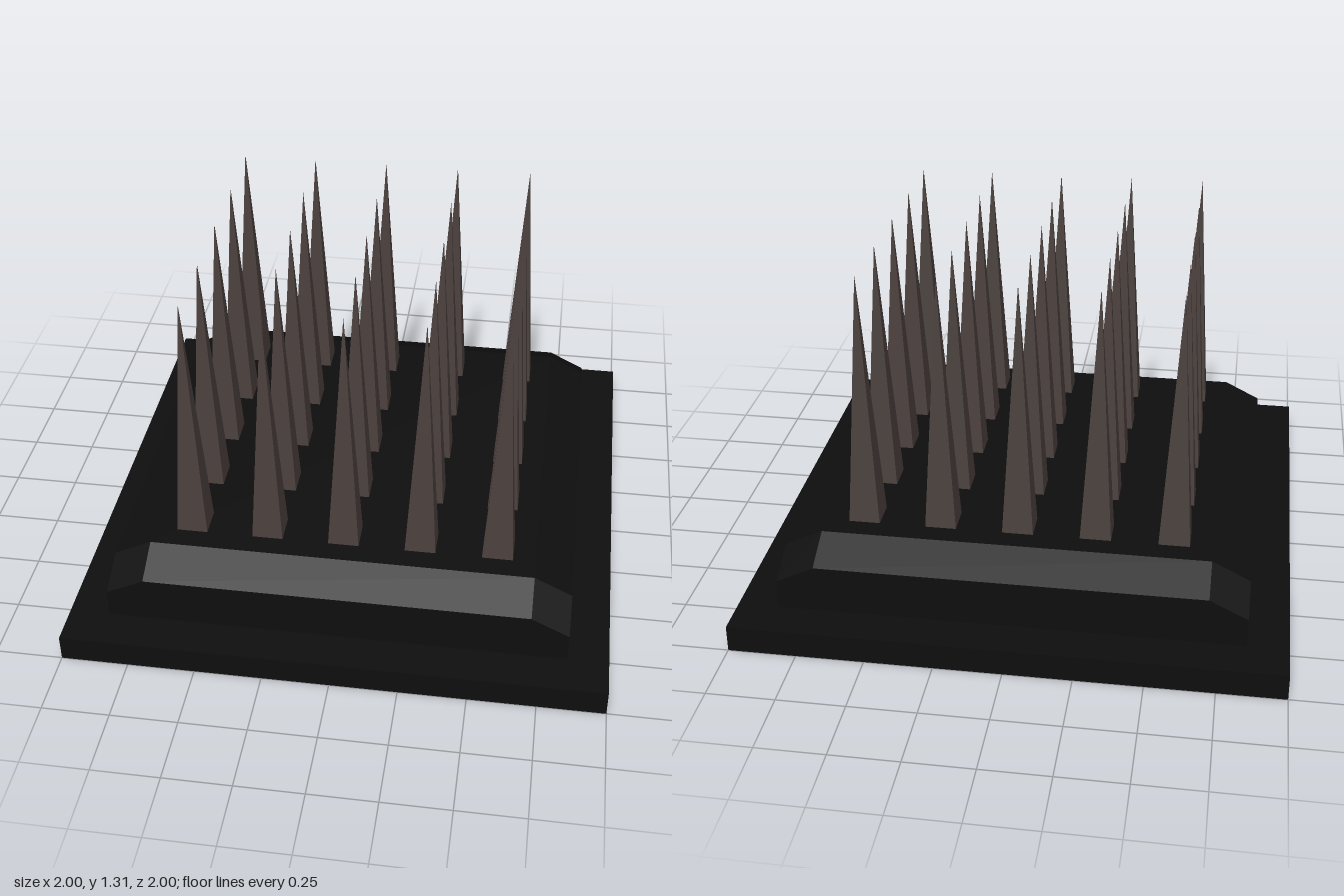
import * as THREE from 'three';

const stone = new THREE.MeshStandardMaterial({ color: 0x0e0e0e, flatShading: true });
const iron = new THREE.MeshStandardMaterial({ color: 0x4a403d, flatShading: true });

// Block whose top drops by one step at each rim and by two at the corners
function bevelledBlock(half, inner, bottom, top, drop) {
  const geo = new THREE.BoxGeometry(2, 2, 2, 3, 1, 3);
  const p = geo.attributes.position;
  const spread = v => Math.sign(v) * (Math.abs(v) > 0.9 ? half : inner);
  for (let i = 0; i < p.count; i++) {
    const x = p.getX(i), z = p.getZ(i);
    const rims = (Math.abs(x) > 0.9 ? 1 : 0) + (Math.abs(z) > 0.9 ? 1 : 0);
    p.setXYZ(i, spread(x), p.getY(i) > 0 ? top - drop * rims : bottom, spread(z));
  }
  geo.computeVertexNormals();
  return geo;
}

export function createModel() {
  const model = new THREE.Group();
  model.name = 'spikeTrap';

  // Flat square slab
  const slab = new THREE.Mesh(new THREE.BoxGeometry(2, 0.1, 2), stone);
  slab.name = 'baseSlab';
  slab.position.y = 0.05;
  model.add(slab);

  // Raised block with sloping rim
  const block = new THREE.Mesh(bevelledBlock(0.85, 0.71, 0.1, 0.35, 0.07), stone);
  block.name = 'bevelledBlock';
  model.add(block);

  // Five by five grid of four-sided spikes
  const height = 0.96, spacing = 0.285;
  const spikeGeo = new THREE.ConeGeometry(0.057 * Math.SQRT2, height, 4);
  spikeGeo.rotateY(Math.PI / 4);
  const spikes = new THREE.Group();
  spikes.name = 'spikes';
  for (let row = -2; row <= 2; row++) {
    for (let col = -2; col <= 2; col++) {
      const spike = new THREE.Mesh(spikeGeo, iron);
      spike.name = 'spike';
      spike.position.set(col * spacing, 0.35 + height / 2, row * spacing);
      spikes.add(spike);
    }
  }
  model.add(spikes);
  return model;
}
